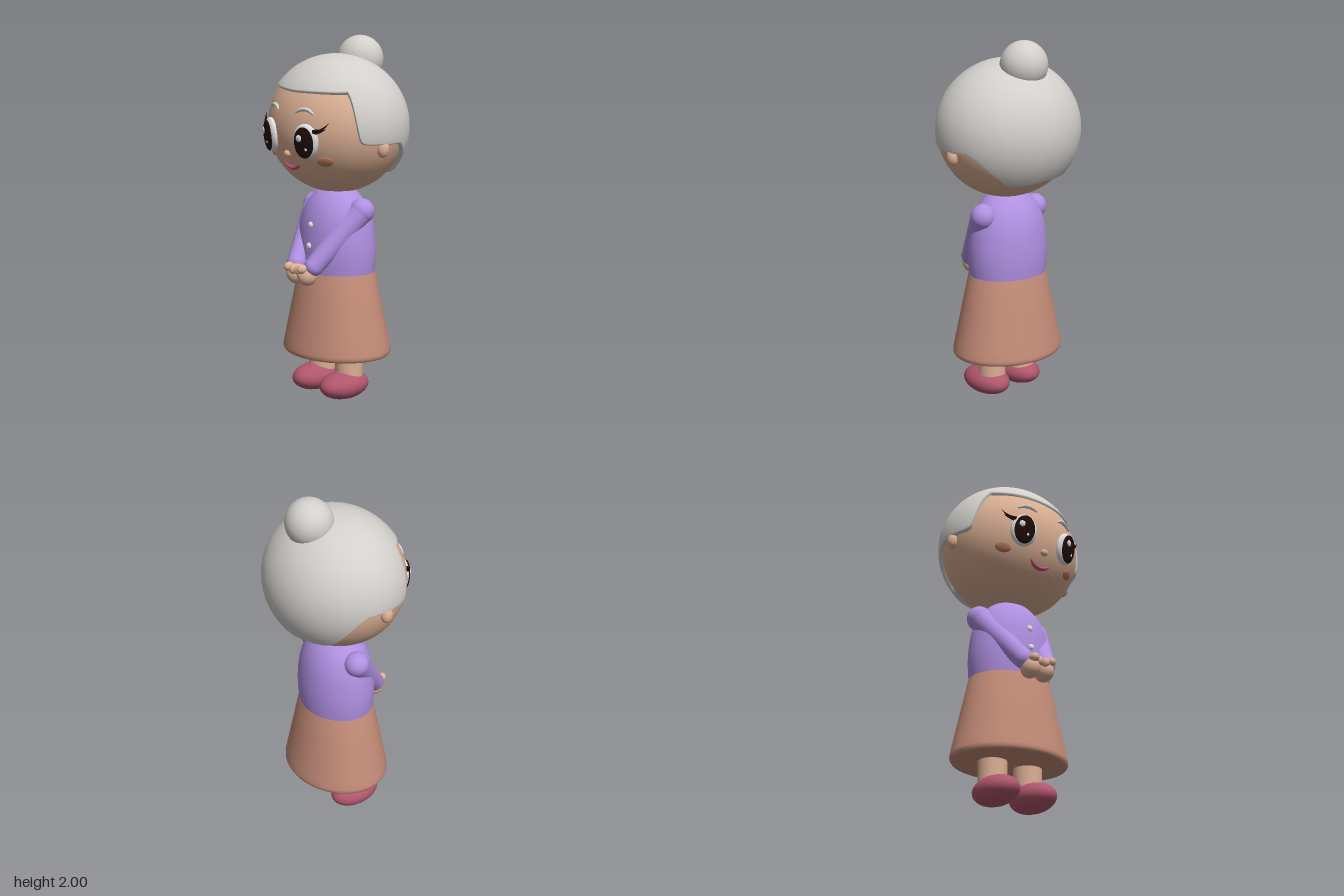
import * as THREE from 'three';
import { mergeVertices } from 'three/addons/utils/BufferGeometryUtils.js';

const mat = (name, color) => {
  const m = new THREE.MeshStandardMaterial({ color });
  m.name = name;
  return m;
};

export function createModel() {
  const skin = mat('skin', 0xdcb094), grey = mat('grey hair', 0xd3d0cc);
  const white = mat('white', 0xe2e0dc), dark = mat('dark brown', 0x1e0c0a);
  const blush = mat('blush', 0xbd7a62), lip = mat('lip pink', 0xbe5470);
  const purple = mat('purple cardigan', 0xb090e2), terracotta = mat('terracotta skirt', 0xc48c78);
  const berry = mat('berry shoes', 0xb0566c);

  const model = new THREE.Group();
  model.name = 'grandmother';
  const V = (x, y, z) => new THREE.Vector3(x, y, z);

  const add = (parent, name, geo, material) => {
    const m = new THREE.Mesh(geo, material);
    m.name = name;
    parent.add(m);
    return m;
  };
  const ellipsoid = (parent, name, material, [x, y, z], [rx, ry, rz], seg = 32) => {
    const m = add(parent, name, new THREE.SphereGeometry(1, seg, Math.round(seg * 0.7)), material);
    m.position.set(x, y, z);
    m.scale.set(rx, ry, rz);
    return m;
  };
  const lathe = (name, pts, material, depth) => {
    const m = add(model, name, new THREE.LatheGeometry(pts.map(p => new THREE.Vector2(...p)), 64), material);
    m.scale.z = depth;
    return m;
  };

  // Skirt with a rounded, closed hem
  lathe('skirt', [[0, 0.235], [0.2, 0.235], [0.31, 0.235], [0.326, 0.24], [0.334, 0.252], [0.334, 0.268],
    [0.325, 0.31], [0.28, 0.51], [0.237, 0.7], [0.22, 0.703], [0, 0.703]], terracotta, 0.83);

  // Cardigan body
  const body = new THREE.SplineCurve([[0.232, 0.69], [0.24, 0.77], [0.24, 0.86], [0.226, 0.97], [0.199, 1.05],
    [0.16, 1.11], [0.1, 1.16], [0, 1.18]].map(p => new THREE.Vector2(...p))).getPoints(32);
  lathe('cardigan', body.map(p => [Math.max(p.x, 0), p.y]), purple, 0.83);
  for (const [y, z] of [[0.97, 0.188], [0.855, 0.2]])
    ellipsoid(model, 'button', white, [0, y, z], [0.018, 0.018, 0.012], 20);

  // Arms, hands, legs and shoes
  for (const s of [1, -1]) {
    const side = s > 0 ? 'left' : 'right';
    const shoulder = V(s * 0.195, 1.05, -0.012), wrist = V(s * 0.075, 0.755, 0.228);
    const dir = wrist.clone().sub(shoulder);
    const sleeve = add(model, side + 'Sleeve', new THREE.CylinderGeometry(0.053, 0.068, dir.length(), 32, 1, true), purple);
    sleeve.position.copy(shoulder).addScaledVector(dir, 0.5);
    sleeve.quaternion.setFromUnitVectors(V(0, 1, 0), dir.clone().normalize());
    ellipsoid(model, side + 'Shoulder', purple, shoulder.toArray(), [0.07, 0.07, 0.07]);
    ellipsoid(model, side + 'Cuff', purple, wrist.toArray(), [0.053, 0.053, 0.053]);
    ellipsoid(model, side + 'Hand', skin, [s * 0.046, 0.705, 0.25], [0.05, 0.058, 0.06]);
    ellipsoid(model, side + 'Thumb', skin, [s * 0.055, 0.745, 0.295], [0.026, 0.026, 0.032], 20);
    ellipsoid(model, side + 'Finger', skin, [s * 0.022, 0.735, 0.29], [0.022, 0.028, 0.028], 20);

    const leg = add(model, side + 'Leg', new THREE.CylinderGeometry(0.078, 0.078, 0.2, 32), skin);
    leg.position.set(s * 0.115, 0.2, 0.008);

    const shoeGeo = new THREE.SphereGeometry(1, 40, 28);
    shoeGeo.scale(0.105, 0.078, 0.157).translate(s * 0.12, 0.068, 0.047);
    const p = shoeGeo.attributes.position;
    for (let i = 0; i < p.count; i++) p.setY(i, Math.max(0, p.getY(i)));
    shoeGeo.computeVertexNormals();
    add(model, side + 'Shoe', shoeGeo, berry);
  }

  // Head, tilted slightly to its left
  const head = new THREE.Group();
  head.name = 'head';
  head.position.y = 1.51;
  head.rotation.z = -0.075;
  model.add(head);
  const R = [0.4, 0.37, 0.363];
  ellipsoid(head, 'face', skin, [0, 0, 0], R, 64);

  // Point on the front of the face, and the outward direction there
  const onFace = (x, y, lift = 0) => {
    const z = R[2] * Math.sqrt(1 - (x / R[0]) ** 2 - (y / R[1]) ** 2);
    const n = V(x / R[0] ** 2, y / R[1] ** 2, z / R[2] ** 2).normalize();
    return { p: V(x, y, z).addScaledVector(n, lift), n };
  };
  const feature = (name, x, y) => {
    const g = new THREE.Group(), f = onFace(x, y);
    g.name = name;
    g.position.copy(f.p);
    g.quaternion.setFromUnitVectors(V(0, 0, 1), f.n);
    head.add(g);
    return g;
  };
  // Tapered stroke that follows the face
  const stroke = (name, pts, r, material, lift, taper) => {
    const curve = new THREE.CatmullRomCurve3(pts.map(([x, y]) => onFace(x, y, lift).p));
    const seg = 24, rad = 10, geo = new THREE.TubeGeometry(curve, seg, r, rad);
    const pos = geo.attributes.position, v = V(0, 0, 0);
    for (let i = 0; i <= seg; i++) {
      const c = curve.getPointAt(i / seg);
      for (let j = 0; j <= rad; j++) {
        const k = i * (rad + 1) + j;
        v.fromBufferAttribute(pos, k).sub(c).multiplyScalar(taper(i / seg)).add(c);
        pos.setXYZ(k, v.x, v.y, v.z);
      }
    }
    geo.computeVertexNormals();
    add(head, name, geo, material);
  };
  const bothEnds = t => 0.05 + 0.95 * Math.sqrt(Math.sin(Math.PI * Math.min(1, t)) + 1e-9);
  const tip = t => 1.02 - t;

  for (const s of [1, -1]) {
    const side = s > 0 ? 'left' : 'right';
    const eye = feature(side + 'Eye', s * 0.145, -0.055);
    ellipsoid(eye, 'eyeWhite', white, [0, 0, 0], [0.075, 0.094, 0.034]);
    ellipsoid(eye, 'iris', dark, [0, -0.003, 0.024], [0.058, 0.084, 0.016]);
    ellipsoid(eye, 'largeGlint', white, [-0.02, 0.022, 0.037], [0.018, 0.019, 0.008], 16);
    ellipsoid(eye, 'smallGlint', white, [0.018, -0.035, 0.036], [0.008, 0.009, 0.006], 16);
    stroke(side + 'Brow', [[s * 0.07, 0.085], [s * 0.1, 0.104], [s * 0.14, 0.107], [s * 0.182, 0.084]], 0.011, grey, 0.006, bothEnds);
    stroke(side + 'Lash', [[s * 0.19, 0], [s * 0.225, 0.012], [s * 0.258, 0.05]], 0.012, dark, 0.014, tip);
    stroke(side + 'LowerLash', [[s * 0.2, -0.004], [s * 0.228, 0.006], [s * 0.25, 0.022]], 0.009, dark, 0.014, tip);
    const cheek = feature(side + 'Cheek', s * 0.222, -0.158);
    ellipsoid(cheek, 'blush', blush, [0, 0, 0], [0.044, 0.029, 0.009]);
    ellipsoid(head, side + 'Ear', skin, [s * 0.394, -0.08, 0.012], [0.031, 0.046, 0.034]);
  }
  const nose = onFace(0, -0.14).p;
  ellipsoid(head, 'nose', skin, nose.toArray(), [0.024, 0.02, 0.02], 20);
  stroke('mouth', [[-0.066, -0.19], [-0.035, -0.211], [0, -0.218], [0.035, -0.211], [0.066, -0.19]], 0.013, lip, 0, bothEnds);

  // Hair cap: a shell whose lower edge follows [angle from front, height]
  const hairline = [[0, 0.19], [45, 0.2], [54, 0.205], [57, 0.17], [62, 0.02], [65, -0.05], [70, -0.062],
    [107, -0.062], [115, -0.1], [127, -0.19], [136, -0.25], [145, -0.262], [180, -0.255]];
  const edgeHeight = a => {
    const i = Math.max(1, hairline.findIndex(h => h[0] >= a));
    const [a0, y0] = hairline[i - 1], [a1, y1] = hairline[i];
    return y0 + (y1 - y0) * (a - a0) / (a1 - a0);
  };
  const cols = 180, rows = 40, cap = new THREE.SphereGeometry(1, cols, rows);
  const cp = cap.attributes.position;
  for (let r = 0; r <= rows; r++) for (let c = 0; c <= cols; c++) {
    const phi = (c % cols) / cols * Math.PI * 2;
    const px = -Math.cos(phi), pz = Math.sin(phi);
    const angle = Math.min(180, Math.acos(THREE.MathUtils.clamp(pz, -1, 1)) * 180 / Math.PI);
    const limit = Math.acos(edgeHeight(angle) / 0.39);
    const t = r / rows, roll = Math.max(0, (t - 0.85) / 0.15) * Math.PI / 2;
    const theta = (limit - 0.035) * Math.min(1, t / 0.85) + 0.035 * Math.sin(roll);
    const k = 1 - 0.1 * (1 - Math.cos(roll));
    const rad = Math.sin(theta) * k;
    cp.setXYZ(r * (cols + 1) + c, px * rad * 0.42, Math.cos(theta) * k * 0.39, pz * rad * (pz > 0 ? 0.372 : 0.385));
  }
  cap.deleteAttribute('uv');
  cap.deleteAttribute('normal');
  const hair = mergeVertices(cap, 1e-5);
  hair.computeVertexNormals();
  add(head, 'hair', hair, grey);
  ellipsoid(head, 'bun', grey, [-0.002, 0.36, -0.152], [0.131, 0.131, 0.126], 48);

  return model;
}
